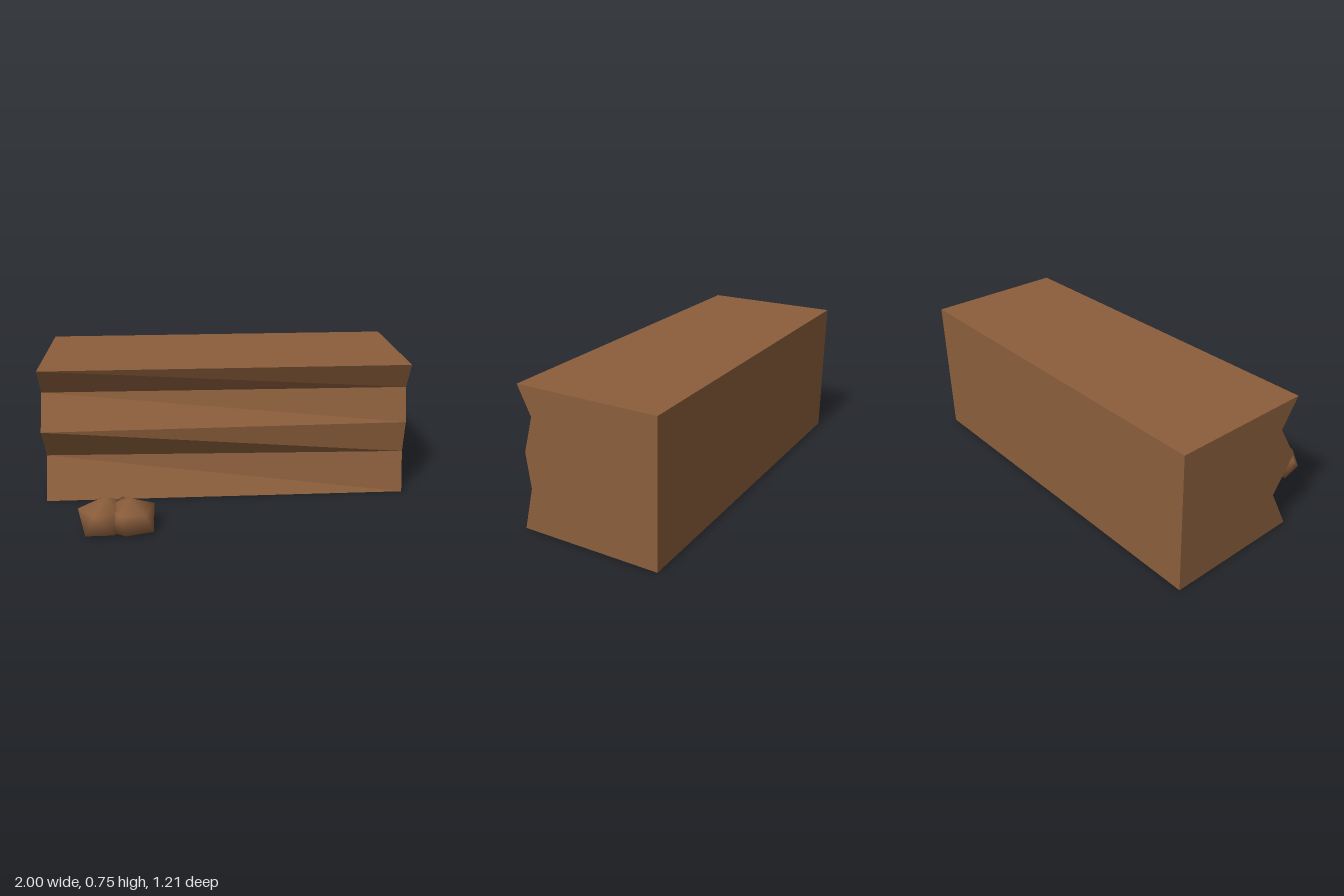
import * as THREE from 'three';
import { mergeVertices } from 'three/addons/utils/BufferGeometryUtils.js';
import { ConvexGeometry } from 'three/addons/geometries/ConvexGeometry.js';

const earth = new THREE.MeshStandardMaterial({ color: 0x8b5e3c });
earth.name = 'earthBrown';

// Block swept between two end profiles of [z, y], with flat facets
function sweptBlock(leftProfile, rightProfile) {
  const at = (x, profile) => profile.map(([z, y]) => new THREE.Vector3(x, y, z));
  const L = at(-1, leftProfile), R = at(1, rightProfile);
  const points = [];
  const n = L.length;
  for (let i = 0; i < n; i++) {
    const j = (i + 1) % n;
    points.push(L[i], R[i], L[j], R[i], R[j], L[j]);
  }
  // End caps, turned to face outwards
  for (const [ring, side] of [[L, -1], [R, 1]]) {
    const flat = ring.map((p) => new THREE.Vector2(-p.z, p.y));
    for (const t of THREE.ShapeUtils.triangulateShape(flat, [])) {
      const outward = THREE.ShapeUtils.area(t.map((k) => flat[k])) * side > 0;
      points.push(...(outward ? t : [t[0], t[2], t[1]]).map((k) => ring[k]));
    }
  }
  const geometry = new THREE.BufferGeometry().setFromPoints(points);
  geometry.computeVertexNormals();
  return geometry;
}

// Smooth-shaded boulder: apex, five shoulder points, five foot points, base
function boulder(points) {
  let geometry = new ConvexGeometry(points.map((p) => new THREE.Vector3(...p)));
  geometry.deleteAttribute('normal');
  geometry = mergeVertices(geometry, 1e-4);
  geometry.computeVertexNormals();
  return geometry;
}

export function createModel() {
  const group = new THREE.Group();
  const add = (name, geometry) => {
    const mesh = new THREE.Mesh(geometry, earth);
    mesh.name = name;
    group.add(mesh);
  };

  // Cliff with a stepped, slightly twisted front
  const back = [[-0.605, 0.75], [-0.605, 0]];
  add('cliff', sweptBlock(
    [[0.145, 0], [0.03, 0.228], [0.16, 0.413], [0.045, 0.602], [0.145, 0.75], ...back],
    [[0.145, 0], [0.094, 0.228], [0.121, 0.413], [0.071, 0.602], [0.145, 0.75], ...back],
  ));

  // Two overlapping boulders at the foot of the cliff
  add('rightBoulder', boulder([
    [-0.645, 0.178, 0.48],
    [-0.787, 0.115, 0.48], [-0.68, 0.12, 0.375], [-0.56, 0.12, 0.41],
    [-0.57, 0.12, 0.56], [-0.7, 0.11, 0.575],
    [-0.77, 0.01, 0.44], [-0.745, 0.01, 0.587], [-0.6, 0.01, 0.587],
    [-0.54, 0.01, 0.48], [-0.63, 0.01, 0.385],
    [-0.66, 0, 0.49],
  ]));
  add('leftBoulder', boulder([
    [-0.525, 0.172, 0.49],
    [-0.395, 0.12, 0.45], [-0.567, 0.115, 0.354], [-0.64, 0.12, 0.48],
    [-0.567, 0.122, 0.605], [-0.44, 0.11, 0.575],
    [-0.4, 0.01, 0.56], [-0.46, 0.005, 0.38], [-0.6, 0.01, 0.39],
    [-0.62, 0.01, 0.55], [-0.54, 0.008, 0.597],
    [-0.52, 0, 0.48],
  ]));
  return group;
}
